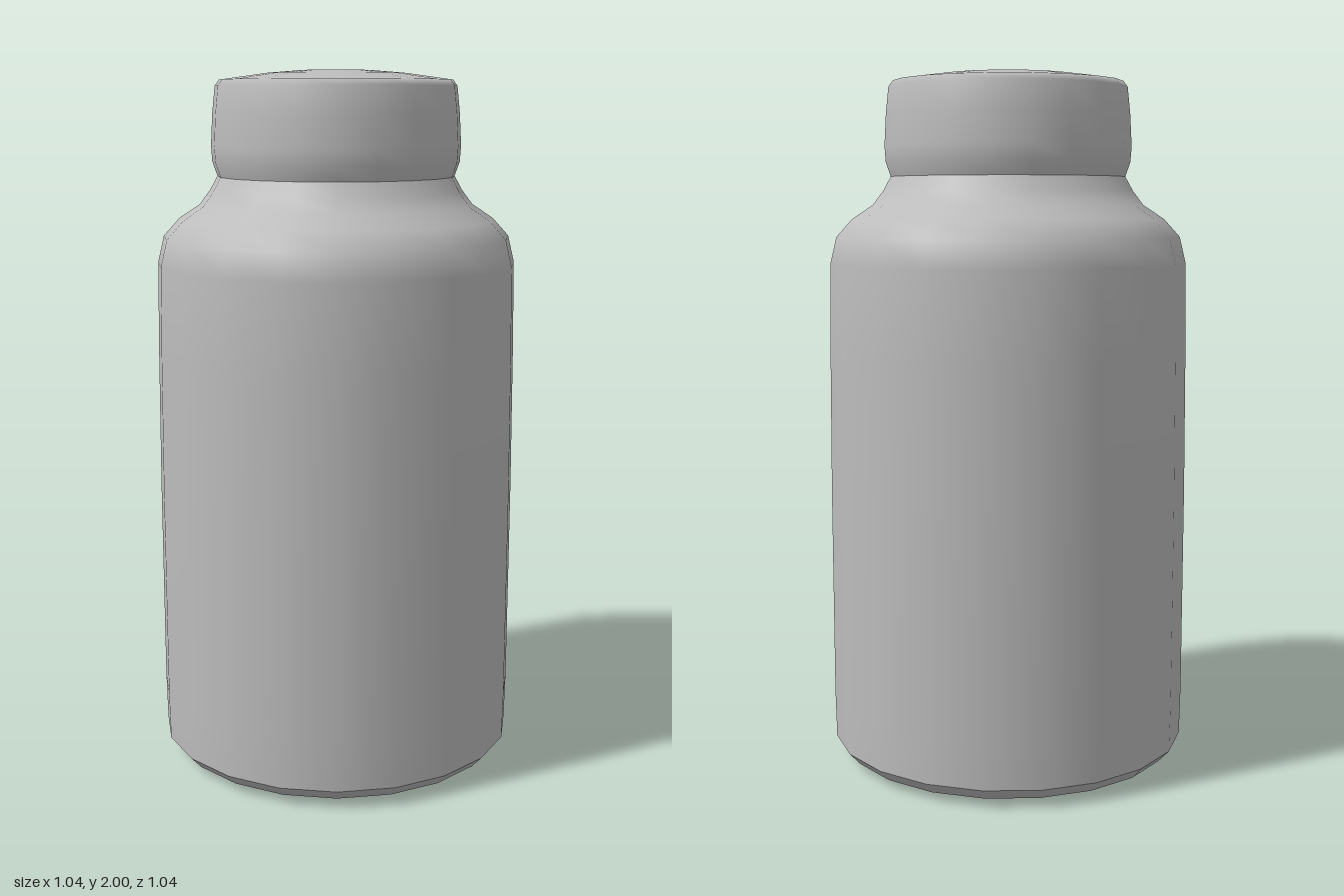
import * as THREE from 'three';

const SIDES = 20;

// Revolves [radius, height] pairs, listed from bottom to top
function turned(name, profile, material) {
  const points = profile.map(([r, y]) => new THREE.Vector2(r, y));
  const mesh = new THREE.Mesh(new THREE.LatheGeometry(points, SIDES), material);
  mesh.name = name;
  return mesh;
}

export function createModel() {
  const grey = new THREE.MeshStandardMaterial({ color: 0xbcbcbc });
  grey.name = 'plain grey';

  const bottle = new THREE.Group();
  bottle.name = 'bottle';

  // Flat base with a small bevel
  bottle.add(turned('base', [[0, 0.005], [0.25, 0.005], [0.44, 0.012], [0.485, 0.025], [0.517, 0.06]], grey));

  // Straight wall, rounded shoulder and narrow neck
  bottle.add(turned('body', [
    [0.517, 0.06], [0.52, 0.2], [0.52, 0.8], [0.517, 1.2], [0.513, 1.46], [0.495, 1.535],
    [0.45, 1.585], [0.39, 1.625], [0.36, 1.665], [0.338, 1.705],
  ], grey));

  // Wide cap with a slightly domed top
  bottle.add(turned('cap', [
    [0.338, 1.705], [0.352, 1.745], [0.355, 1.79], [0.35, 1.88], [0.342, 1.955],
    [0.33, 1.972], [0.2, 1.99], [0.1, 1.998], [0, 2],
  ], grey));

  return bottle;
}
